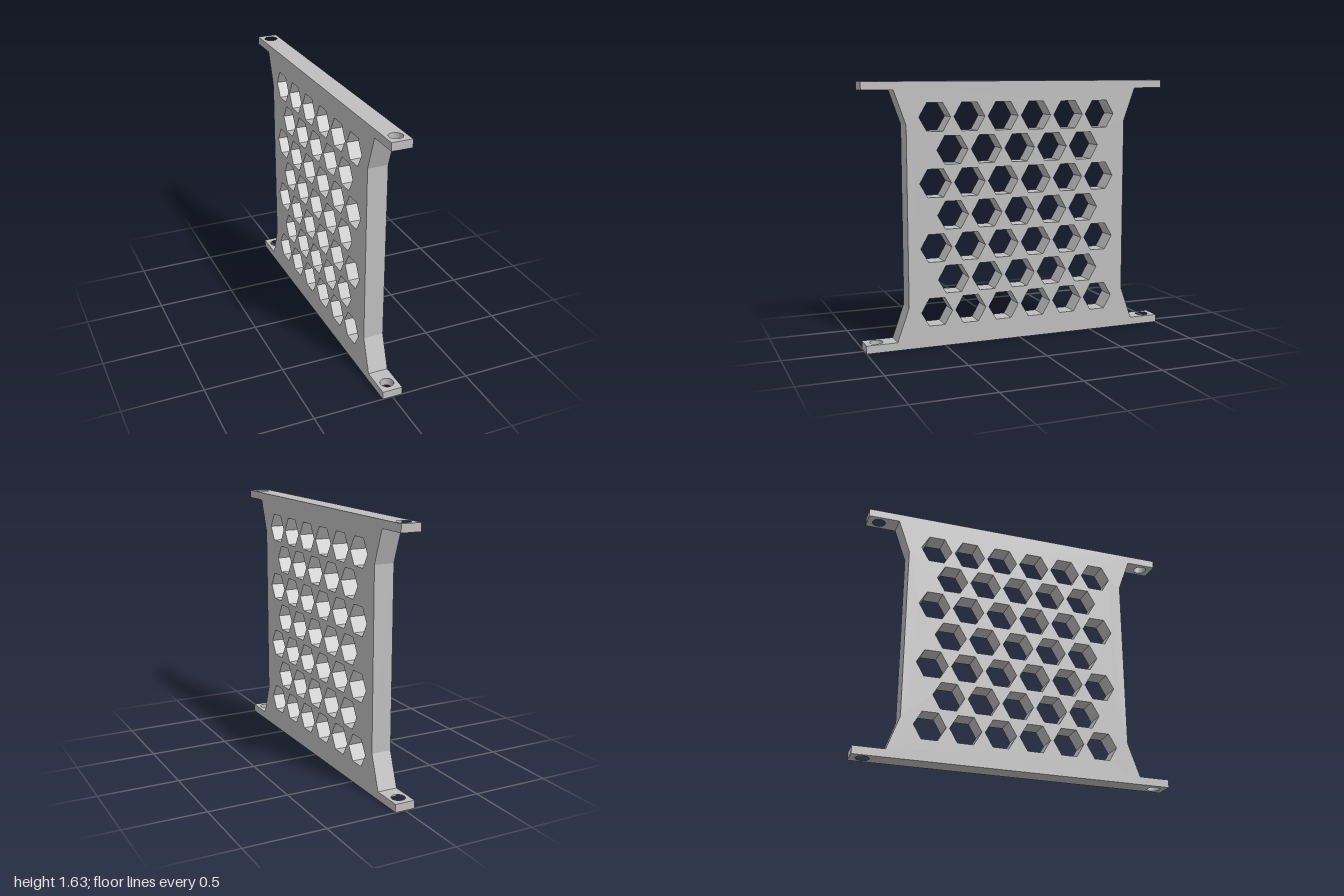
import * as THREE from 'three';
import { toCreasedNormals } from 'three/addons/utils/BufferGeometryUtils.js';

const WIDTH = 0.126, HEIGHT = 1.635, FLANGE = 0.05;
const SHOULDER = 0.805; // where the mounting tabs meet the web

// Closed path through a list of points
function pathOf(points, PathType = THREE.Path) {
  return new PathType(points.map(([a, b]) => new THREE.Vector2(a, b)));
}

function hexHole(cz, cy, r) {
  const points = [];
  for (let i = 0; i < 6; i++) {
    const a = (i * Math.PI) / 3;
    points.push([cz + r * Math.cos(a), cy + r * Math.sin(a)]);
  }
  return pathOf(points);
}

// Web with flared corners and staggered rows of hexagonal holes
function webGeometry() {
  const half = [[SHOULDER, 0], [SHOULDER, FLANGE], [0.73, 0.26],
    [0.73, HEIGHT - 0.26], [SHOULDER, HEIGHT - FLANGE], [SHOULDER, HEIGHT]];
  const mirrored = half.map(([z, y]) => [-z, y]).reverse();
  const shape = pathOf([...half, ...mirrored], THREE.Shape);
  const pitch = 0.2205;
  for (let row = 0; row < 7; row++) {
    const count = row % 2 ? 5 : 6;
    for (let i = 0; i < count; i++) {
      shape.holes.push(hexHole((i - (count - 1) / 2) * pitch, 0.221 + row * 0.2, 0.1));
    }
  }
  const geometry = new THREE.ExtrudeGeometry(shape, { depth: WIDTH, bevelEnabled: false });
  return geometry.translate(0, 0, -WIDTH / 2).rotateY(-Math.PI / 2);
}

// Mounting tab with a round screw hole, its underside at y = 0
function tabGeometry(side) {
  const w = WIDTH / 2, inner = side * SHOULDER, outer = side;
  const shape = pathOf([[-w, inner], [w, inner], [w, outer], [-w, outer]], THREE.Shape);
  const hole = new THREE.Path();
  hole.absarc(0, side * 0.925, 0.041, 0, Math.PI * 2, true);
  shape.holes.push(hole);
  const geometry = new THREE.ExtrudeGeometry(shape,
    { depth: FLANGE, bevelEnabled: false, curveSegments: 32 });
  geometry.rotateX(Math.PI / 2).translate(0, FLANGE, 0);
  return toCreasedNormals(geometry, 0.5);
}

export function createModel() {
  const group = new THREE.Group();
  group.name = 'perforatedBracket';
  const grey = new THREE.MeshStandardMaterial({ color: 0xbfbfbf });
  grey.name = 'grey';

  const web = new THREE.Mesh(webGeometry(), grey);
  web.name = 'perforatedWeb';
  group.add(web);

  // Four tabs, front and back, bottom and top
  for (const side of [1, -1]) {
    const geometry = tabGeometry(side);
    for (const level of ['lower', 'upper']) {
      const tab = new THREE.Mesh(geometry, grey);
      tab.name = `${level}${side > 0 ? 'Front' : 'Back'}Tab`;
      tab.position.y = level === 'upper' ? HEIGHT - FLANGE : 0;
      group.add(tab);
    }
  }
  return group;
}
